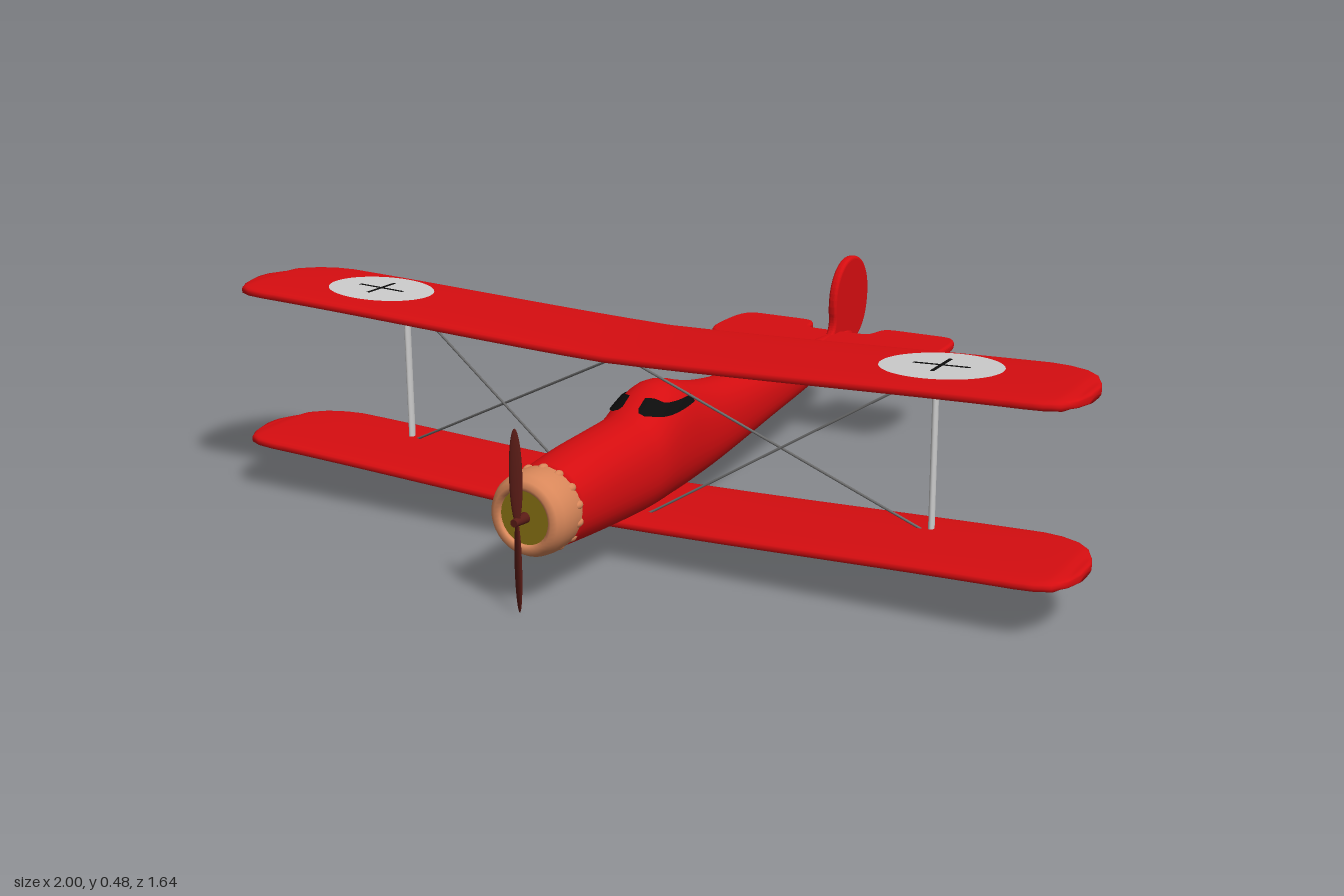
import * as THREE from 'three';

const paint = (name, color, side = THREE.FrontSide) => {
  const m = new THREE.MeshStandardMaterial({ color, side });
  m.name = name;
  return m;
};

// Skin a list of rings; closed rings are capped at both ends
function loft(rings, closed = true) {
  const n = rings[0].length, pos = rings.flat(2), idx = [];
  const last = rings.length - 1, cols = closed ? n : n - 1;
  for (let i = 0; i < last; i++) for (let j = 0; j < cols; j++) {
    const k = (j + 1) % n, a = i * n, b = a + n;
    idx.push(a + j, b + j, a + k, b + j, b + k, a + k);
  }
  if (closed) for (const r of [0, last]) {
    const c = pos.length / 3;
    for (let d = 0; d < 3; d++) pos.push(rings[r].reduce((s, p) => s + p[d], 0) / n);
    for (let j = 0; j < n; j++) {
      const p = r * n + j, q = r * n + (j + 1) % n;
      idx.push(c, ...(r ? [q, p] : [p, q]));
    }
  }
  const g = new THREE.BufferGeometry();
  g.setAttribute('position', new THREE.Float32BufferAttribute(pos, 3));
  g.setIndex(idx);
  g.computeVertexNormals();
  return g;
}

const spow = (v, p) => Math.sign(v) * Math.abs(v) ** p;

// Interpolate rows of [key, ...values] smoothly or linearly
function table(rows, Kind) {
  const size = rows[0].length - 1;
  const it = new Kind(rows.map(r => r[0]), rows.flatMap(r => r.slice(1)), size, new Float32Array(size));
  return t => Array.from(it.evaluate(t));
}

// Fuselage: z, bottom, top, half width
const body = table([
  [-0.77, 0.208, 0.235, 0.006], [-0.72, 0.192, 0.236, 0.012], [-0.65, 0.178, 0.238, 0.024],
  [-0.5, 0.151, 0.243, 0.038], [-0.2, 0.12, 0.262, 0.057], [0, 0.1, 0.28, 0.07],
  [0.1, 0.091, 0.297, 0.076], [0.19, 0.085, 0.322, 0.081], [0.24, 0.082, 0.338, 0.084],
  [0.29, 0.081, 0.341, 0.086], [0.34, 0.081, 0.324, 0.088], [0.39, 0.083, 0.298, 0.089],
  [0.44, 0.085, 0.294, 0.089], [0.6, 0.096, 0.286, 0.087], [0.72, 0.107, 0.273, 0.083],
], THREE.CubicInterpolant);

function bodyPoint(z, a, grow = 0) {
  const [bot, top, w] = body(z), mid = bot + (top - bot) * 0.47, s = Math.sin(a);
  return [(w + grow) * spow(Math.cos(a), 0.9),
    mid + ((s > 0 ? top - mid : mid - bot) + grow) * spow(s, 0.9), z];
}

// Wing plan: x, trailing edge, leading edge
const plan = table([
  [0, 0.19, 0.485], [0.86, 0.19, 0.485], [0.9, 0.198, 0.485], [0.94, 0.217, 0.481],
  [0.97, 0.247, 0.467], [0.99, 0.288, 0.435], [1, 0.32, 0.395],
], THREE.LinearInterpolant);
const HALF = 0.014;
const rise = x => {
  const t = Math.min(1, Math.abs(x) / 0.95);
  return 0.032 * (0.6 * t + 0.4 * t * t * (3 - 2 * t));
};

function wingGeometry(y) {
  const half = [0, 0.1, 0.2, 0.3, 0.4, 0.5, 0.6, 0.7, 0.8, 0.86, 0.88, 0.9, 0.92, 0.94, 0.955, 0.97, 0.98, 0.99, 1];
  const xs = [...half.slice(1).reverse().map(x => -x), ...half];
  return loft(xs.map(x => {
    const [back, front] = plan(Math.abs(x));
    const h = HALF * (Math.abs(x) > 0.97 ? 0.75 : 1);
    return Array.from({ length: 28 }, (_, j) => {
      const a = j / 28 * Math.PI * 2;
      return [x, y + rise(x) + h * spow(Math.sin(a), 0.5),
        (back + front) / 2 + (front - back) / 2 * spow(Math.cos(a), 0.75)];
    });
  }));
}

export function createModel() {
  const group = new THREE.Group();
  group.name = 'biplane';
  const red = paint('red', 0xd60d10);
  const grey = paint('light grey', 0xcccccc, THREE.DoubleSide);
  const black = paint('black', 0x0c0c0c, THREE.DoubleSide);
  const copper = paint('copper', 0xd8875a, THREE.DoubleSide);
  const olive = paint('olive', 0x8c7614);
  const brown = paint('dark brown', 0x5a1c16);
  const steel = paint('steel', 0x6c6c6c);
  const add = (name, geo, mat, x = 0, y = 0, z = 0) => {
    const m = new THREE.Mesh(geo, mat);
    m.name = name;
    m.position.set(x, y, z);
    group.add(m);
    return m;
  };
  const rod = (name, from, to, r, mat) => {
    const a = new THREE.Vector3(...from), b = new THREE.Vector3(...to);
    const m = add(name, new THREE.CylinderGeometry(r, r, a.distanceTo(b), 8), mat);
    m.position.copy(a).add(b).multiplyScalar(0.5);
    m.quaternion.setFromUnitVectors(new THREE.Vector3(0, 1, 0), b.sub(a).normalize());
  };

  // Fuselage
  add('fuselage', loft(Array.from({ length: 61 }, (_, i) => {
    const z = 0.72 - 1.49 * i / 60;
    return Array.from({ length: 32 }, (_, j) => bodyPoint(z, j / 32 * Math.PI * 2));
  })), red);

  // Cockpit windows hugging the fuselage: z, lower edge, upper edge
  const pane = table([[0.22, 0.288, 0.303], [0.325, 0.285, 0.308], [0.35, 0.286, 0.33],
    [0.385, 0.292, 0.297]], THREE.LinearInterpolant);
  for (const side of [1, -1]) {
    add('cockpitWindow', loft(Array.from({ length: 18 }, (_, i) => {
      const z = 0.385 - 0.165 * i / 17, [bot, top] = body(z), mid = bot + (top - bot) * 0.47;
      const angle = y => Math.asin(Math.min(0.985, ((y - mid) / (top - mid)) ** (1 / 0.9)));
      const [lo, hi] = pane(z).map(angle);
      return Array.from({ length: 7 }, (_, j) => {
        const [x, y] = bodyPoint(z, lo + (hi - lo) * j / 6, 0.004);
        return [side * x, y, z];
      });
    }), false), black);
  }

  // Wings, roundels and small crosses
  add('upperWing', wingGeometry(0.438), red);
  add('lowerWing', wingGeometry(0.083), red);
  const onWing = (geo, cx, lift) => {
    const p = geo.rotateX(-Math.PI / 2).translate(cx, 0, 0.33).attributes.position;
    for (let i = 0; i < p.count; i++) p.setY(i, 0.438 + HALF + lift + rise(p.getX(i)));
    geo.computeVertexNormals();
    return geo;
  };
  for (const side of [1, -1]) {
    const cx = side * 0.68;
    add('roundel', onWing(new THREE.CircleGeometry(1, 48).scale(0.127, 0.1, 1), cx, 0.002), grey);
    add('crossBar', onWing(new THREE.PlaneGeometry(0.12, 0.009, 6, 1), cx, 0.004), black);
    add('crossBar', onWing(new THREE.PlaneGeometry(0.009, 0.1), cx, 0.004), black);
    // Struts and bracing wires
    add('wingStrut', new THREE.CylinderGeometry(1, 1, 0.345, 14).scale(0.006, 1, 0.01), grey,
      side * 0.65, 0.277, 0.28);
    rod('bracingWire', [0, 0.43, 0.41], [side * 0.64, 0.112, 0.285], 0.0028, steel);
    rod('bracingWire', [side * 0.65, 0.452, 0.28], [side * 0.05, 0.085, 0.42], 0.0028, steel);
  }

  // Tailplane with a notch for the rudder
  const tail = new THREE.Shape();
  tail.moveTo(0, -0.48).lineTo(0.04, -0.48);
  tail.quadraticCurveTo(0.05, -0.508, 0.09, -0.508).lineTo(0.24, -0.508);
  tail.bezierCurveTo(0.285, -0.508, 0.302, -0.54, 0.302, -0.6);
  tail.bezierCurveTo(0.302, -0.68, 0.3, -0.722, 0.26, -0.722).lineTo(0.13, -0.722);
  tail.bezierCurveTo(0.075, -0.722, 0.12, -0.65, 0.06, -0.65).lineTo(0, -0.65);
  const right = tail.getPoints(10);
  const outline = [...right, ...right.slice(1, -1).reverse().map(p => new THREE.Vector2(-p.x, p.y))];
  const bevel = { depth: 0.006, bevelSize: 0.008, bevelThickness: 0.008, bevelSegments: 4, curveSegments: 12 };
  add('tailplane', new THREE.ExtrudeGeometry(new THREE.Shape(outline), bevel).rotateX(Math.PI / 2), red, 0, 0.231, 0);

  // Rounded rudder flowing out of the fuselage end
  const fin = new THREE.Shape();
  fin.moveTo(0.58, 0.215).quadraticCurveTo(0.638, 0.235, 0.627, 0.29);
  fin.bezierCurveTo(0.62, 0.36, 0.665, 0.412, 0.72, 0.412);
  fin.bezierCurveTo(0.78, 0.412, 0.812, 0.365, 0.812, 0.318);
  fin.bezierCurveTo(0.812, 0.26, 0.785, 0.215, 0.735, 0.204);
  fin.quadraticCurveTo(0.68, 0.188, 0.58, 0.19);
  add('rudder', new THREE.ExtrudeGeometry(fin, bevel).rotateY(Math.PI / 2), red, -0.003, 0, 0);

  // Engine cowling with scalloped rear edge, engine face
  const lip = [[0.083, 0.7], [0.087, 0.715], [0.088, 0.745], [0.085, 0.768], [0.077, 0.784],
    [0.066, 0.791], [0.057, 0.786], [0.055, 0.765]].map(([r, z]) => new THREE.Vector2(r, z));
  add('cowling', new THREE.LatheGeometry(lip, 40).rotateX(Math.PI / 2), copper, 0, 0.19, 0);
  for (let i = 0; i < 14; i++) {
    const a = (i + 0.5) / 14 * Math.PI * 2;
    add('cowlingBump', new THREE.SphereGeometry(0.01, 10, 8).scale(1, 1, 1.5), copper,
      0.081 * Math.cos(a), 0.19 + 0.081 * Math.sin(a), 0.713);
  }
  add('engineFace', new THREE.CylinderGeometry(0.057, 0.057, 0.06, 32).rotateX(Math.PI / 2), olive, 0, 0.19, 0.75);

  // Propeller
  add('propellerHub', new THREE.CylinderGeometry(0.008, 0.012, 0.045, 16).rotateX(Math.PI / 2), brown, 0, 0.19, 0.797);
  for (const side of [1, -1]) {
    const blade = add('propellerBlade', new THREE.SphereGeometry(1, 16, 20).scale(0.013, 0.098, 0.005),
      brown, 0, 0.19 + side * 0.092, 0.808);
    blade.rotation.y = side * 0.5;
  }
  return group;
}
